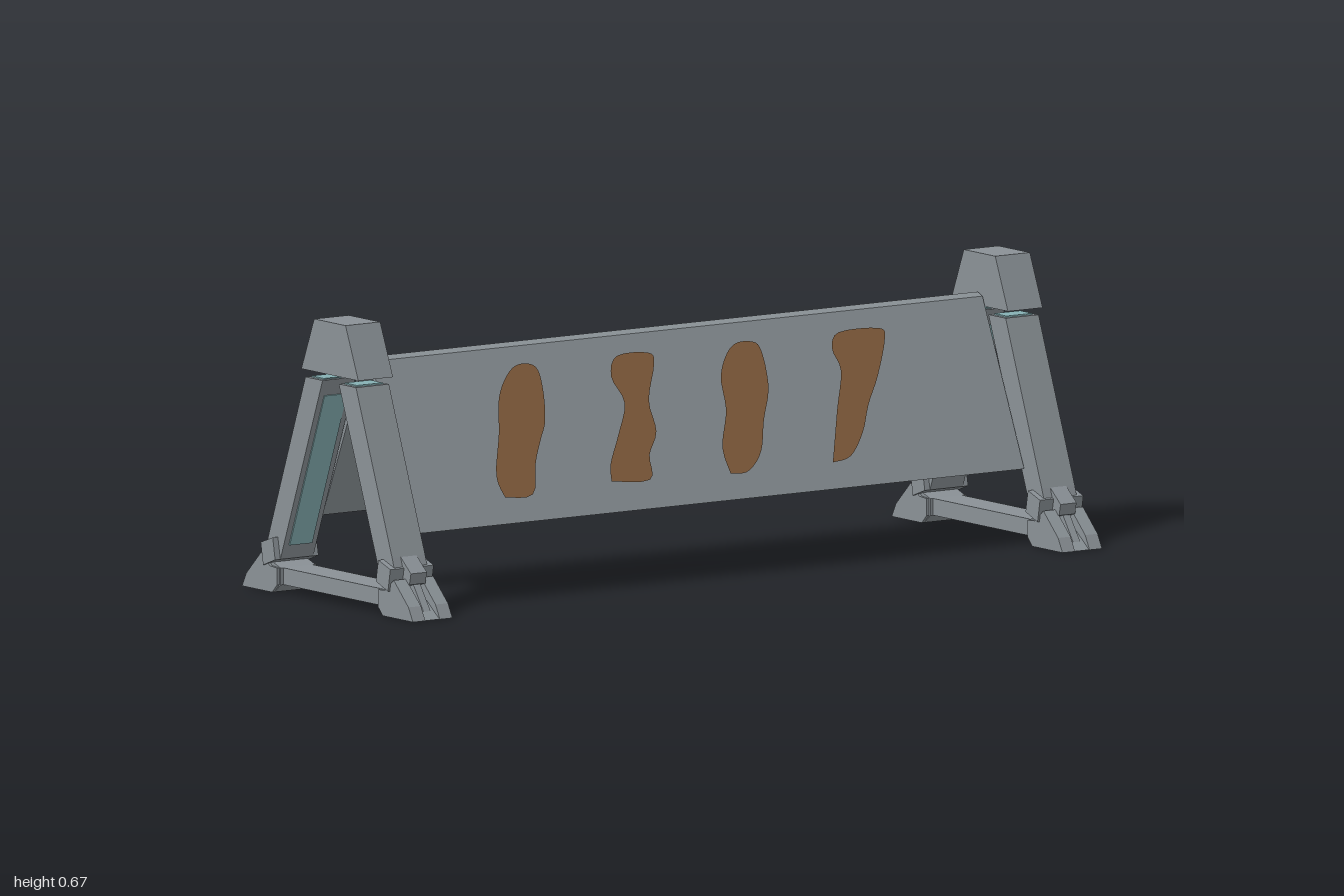
import * as THREE from 'three';

const mat = (name, color) => {
  const m = new THREE.MeshStandardMaterial({ color });
  m.name = name;
  return m;
};

export function createModel() {
  const grey = mat('grey metal', 0x8a9196);
  const rust = mat('rust brown', 0x87603f);
  const teal = mat('pale teal', 0x86b0b4);
  const model = new THREE.Group();
  model.name = 'barrier';

  const add = (parent, name, geometry, material) => {
    const mesh = new THREE.Mesh(geometry, material);
    mesh.name = name;
    parent.add(mesh);
    return mesh;
  };

  // Side profile of [z, y] points, extruded along x and centred on x = cx
  const slab = (points, width, cx = 0) => {
    const shape = new THREE.Shape(points.map(([z, y]) => new THREE.Vector2(z, y)));
    const g = new THREE.ExtrudeGeometry(shape, { depth: width, bevelEnabled: false });
    g.translate(0, 0, -width / 2).rotateY(-Math.PI / 2).translate(cx, 0, 0);
    return g;
  };

  // Folded sheet between the two stands
  add(model, 'panel', slab([
    [0.19, 0.18], [0.02, 0.57], [0, 0.578], [-0.02, 0.57], [-0.19, 0.18],
    [-0.178, 0.18], [-0.011, 0.563], [0.011, 0.563], [0.178, 0.18],
  ], 1.762), grey);

  // Slanted rust stains, laid on the sloping sheet
  const stains = [
    [[-0.6, 0.24], [-0.52, 0.24], [-0.49, 0.31], [-0.46, 0.36], [-0.435, 0.4], [-0.42, 0.47],
      [-0.425, 0.52], [-0.47, 0.53], [-0.51, 0.51], [-0.55, 0.46], [-0.575, 0.38], [-0.61, 0.29]],
    [[-0.29, 0.25], [-0.18, 0.245], [-0.165, 0.3], [-0.13, 0.35], [-0.13, 0.42], [-0.09, 0.5],
      [-0.1, 0.525], [-0.19, 0.525], [-0.22, 0.48], [-0.2, 0.42], [-0.24, 0.35], [-0.28, 0.29]],
    [[0.05, 0.24], [0.1, 0.24], [0.15, 0.28], [0.18, 0.35], [0.215, 0.42], [0.22, 0.5],
      [0.2, 0.525], [0.14, 0.52], [0.09, 0.46], [0.08, 0.38], [0.045, 0.3]],
    [[0.345, 0.24], [0.4, 0.25], [0.45, 0.3], [0.485, 0.36], [0.53, 0.42], [0.575, 0.5],
      [0.565, 0.525], [0.45, 0.525], [0.42, 0.49], [0.43, 0.44], [0.395, 0.36], [0.37, 0.3]],
  ];
  const sheetZ = (y) => 0.19 - (y - 0.18) * (0.17 / 0.39);
  for (const turn of [0, Math.PI]) {
    const side = new THREE.Group();
    side.name = turn ? 'backStains' : 'frontStains';
    side.rotation.y = turn;
    model.add(side);
    for (const pts of stains) {
      const curve = new THREE.SplineCurve([...pts, pts[0]].map(([x, y]) => new THREE.Vector2(x, y)));
      const g = new THREE.ShapeGeometry(new THREE.Shape(curve.getPoints(48).slice(0, -1)));
      const p = g.attributes.position;
      for (let i = 0; i < p.count; i++) p.setZ(i, sheetZ(p.getY(i)) + 0.004);
      g.computeVertexNormals();
      add(side, 'stain', g, rust);
    }
  }

  // One half of a stand: leg, joint and foot, leaning in from +z
  const halfStand = () => {
    const half = new THREE.Group();
    half.name = 'legAssembly';
    add(half, 'leg', slab([[0.205, 0.08], [0.262, 0.105], [0.25, 0.14], [0.103, 0.527], [0.033, 0.527]], 0.095), grey);
    add(half, 'legInnerStrip', slab([[0.192, 0.116], [0.05, 0.489], [0.046, 0.487], [0.188, 0.114]], 0.065), teal);
    add(half, 'legTopPlate', slab([[0.043, 0.527], [0.093, 0.527], [0.092, 0.53], [0.042, 0.53]], 0.075), teal);
    add(half, 'jointBlock', slab([[0.205, 0.08], [0.254, 0.062], [0.264, 0.115], [0.215, 0.132]], 0.125), grey);
    add(half, 'footCore', slab([[0.225, 0], [0.346, 0], [0.285, 0.045], [0.26, 0.08], [0.2, 0.06], [0.2, 0.02]], 0.1), grey);
    for (const s of [-1, 1]) {
      add(half, 'footCheek', slab([
        [0.205, 0.02], [0.225, 0], [0.348, 0], [0.33, 0.033], [0.27, 0.09], [0.235, 0.062], [0.205, 0.06],
      ], 0.036, s * 0.039), grey);
    }
    // Latch in the slot between the cheeks
    add(half, 'latch', slab([
      [0.25, 0.14], [0.24, 0.1], [0.262, 0.07], [0.286, 0.078], [0.292, 0.105],
    ], 0.046), grey);
    add(half, 'latchSpike', slab([[0.26, 0.085], [0.28, 0.04], [0.325, 0.018], [0.285, 0.075]], 0.02), grey);
    return half;
  };

  for (const s of [-1, 1]) {
    const stand = new THREE.Group();
    stand.name = s > 0 ? 'leftStand' : 'rightStand';
    stand.position.x = s * 0.9365;
    model.add(stand);
    add(stand, 'cap', slab([[-0.116, 0.545], [0.116, 0.545], [0.064, 0.67], [-0.064, 0.67]], 0.1), grey);
    add(stand, 'baseBar', slab([[-0.21, 0.02], [0.21, 0.02], [0.21, 0.06], [-0.21, 0.06]], 0.085), grey);
    const front = halfStand();
    const back = halfStand();
    back.rotation.y = Math.PI;
    stand.add(front, back);
  }
  return model;
}
